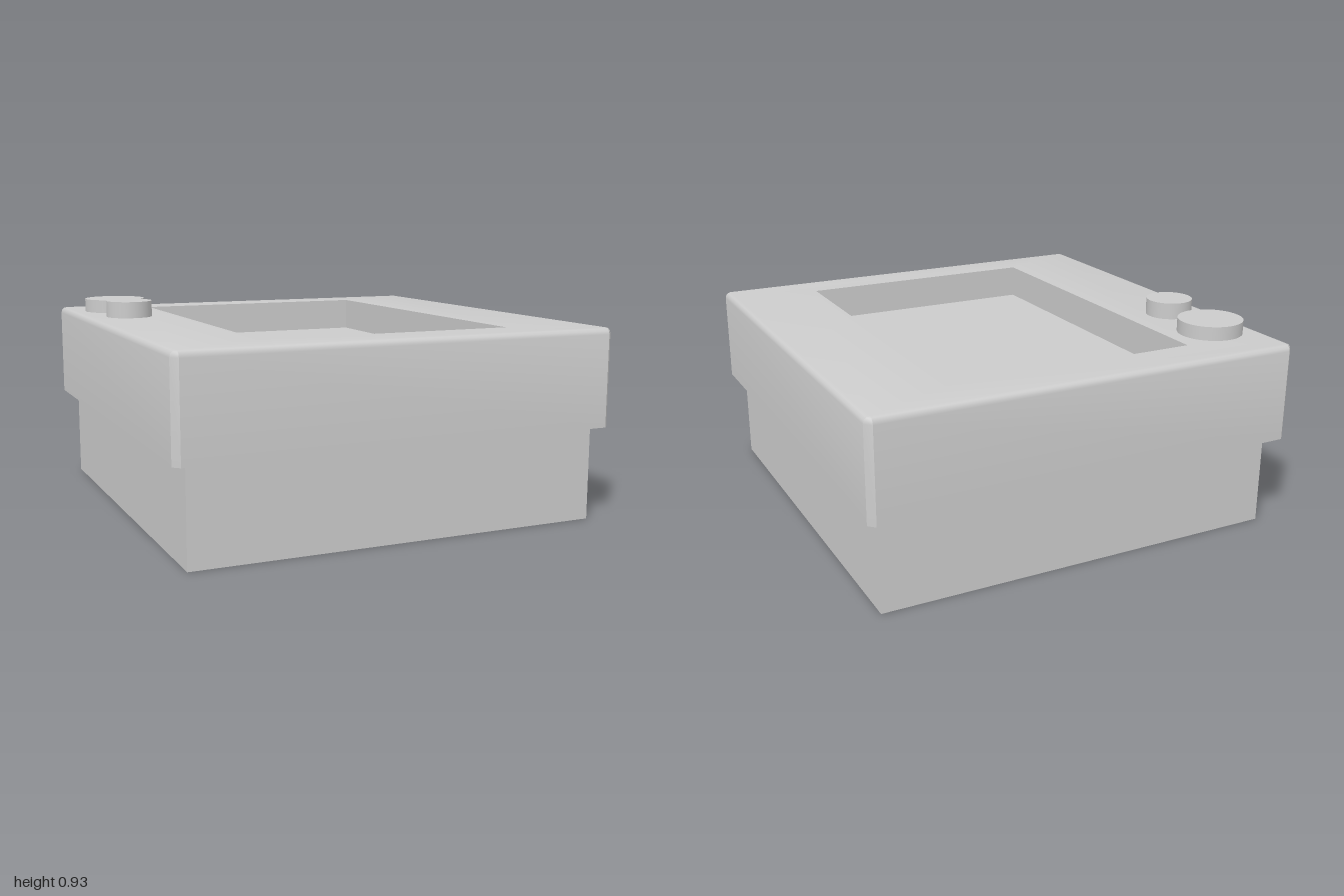
import * as THREE from 'three';
import { toCreasedNormals } from 'three/addons/utils/BufferGeometryUtils.js';

const LID_W = 0.9875, LID_D = 1, BEVEL = 0.028;
const LID_BOTTOM = 0.42, LID_TOP = 0.855, PLATE_BOTTOM = 0.7;

// Rectangle with cut corners (half width w, half depth d, corner cut c) at height y
function ring(w, d, c, y) {
  const points = [];
  for (const [sx, sz] of [[1, 1], [-1, 1], [-1, -1], [1, -1]]) {
    const pair = [
      new THREE.Vector3(sx * w, y, sz * (d - c)),
      new THREE.Vector3(sx * (w - c), y, sz * d),
    ];
    if (sx !== sz) pair.reverse();
    points.push(...pair);
  }
  return points;
}

// Skins neighbouring rings; the last ring joins back to the first
function loftClosed(rings) {
  const positions = [];
  const triangle = (a, b, c) => {
    if (a.equals(b) || b.equals(c) || c.equals(a)) return;
    for (const p of [a, b, c]) positions.push(p.x, p.y, p.z);
  };
  rings.forEach((a, r) => {
    const b = rings[(r + 1) % rings.length];
    for (let i = 0; i < a.length; i++) {
      const j = (i + 1) % a.length;
      triangle(a[i], a[j], b[i]);
      triangle(a[j], b[j], b[i]);
    }
  });
  const geometry = new THREE.BufferGeometry();
  geometry.setAttribute('position', new THREE.Float32BufferAttribute(positions, 3));
  return toCreasedNormals(geometry, 0.6);
}

export function createModel() {
  const group = new THREE.Group();
  const material = new THREE.MeshStandardMaterial({ color: 0xcccccc });

  const add = (name, geometry, x, y, z) => {
    const mesh = new THREE.Mesh(geometry, material);
    mesh.name = name;
    mesh.position.set(x, y, z);
    group.add(mesh);
  };

  // Base box, whose top forms the floor of the window
  add('base', new THREE.BoxGeometry(1.85, PLATE_BOTTOM, 1.86), 0, PLATE_BOTTOM / 2, 0.01);

  // Hollow lid: window wall, softened top edge, skirt, inside of skirt
  const rings = [
    ring(0.567, 0.798, 0, PLATE_BOTTOM),
    ring(0.567, 0.798, 0, LID_TOP),
  ];
  const steps = 3;
  for (let i = 0; i <= steps; i++) {
    const angle = (i / steps) * Math.PI / 2;
    const inset = BEVEL * (1 - Math.sin(angle));
    const y = LID_TOP - BEVEL * (1 - Math.cos(angle));
    rings.push(ring(LID_W - inset, LID_D - inset, BEVEL - inset, y));
  }
  rings.push(
    ring(LID_W, LID_D, BEVEL, LID_BOTTOM),
    ring(LID_W - 0.03, LID_D - 0.03, 0, LID_BOTTOM),
    ring(LID_W - 0.03, LID_D - 0.03, 0, PLATE_BOTTOM),
  );
  add('lid', loftClosed(rings), 0, 0, 0);

  // Round buttons on the lid
  const button = (name, radius, top, x, z) => {
    const height = top - LID_TOP + 0.02;
    add(name, new THREE.CylinderGeometry(radius, radius, height, 48), x, top - height / 2, z);
  };
  button('largeButton', 0.145, 0.917, -0.778, -0.675);
  button('smallButton', 0.106, 0.93, -0.79, -0.345);

  return group;
}
